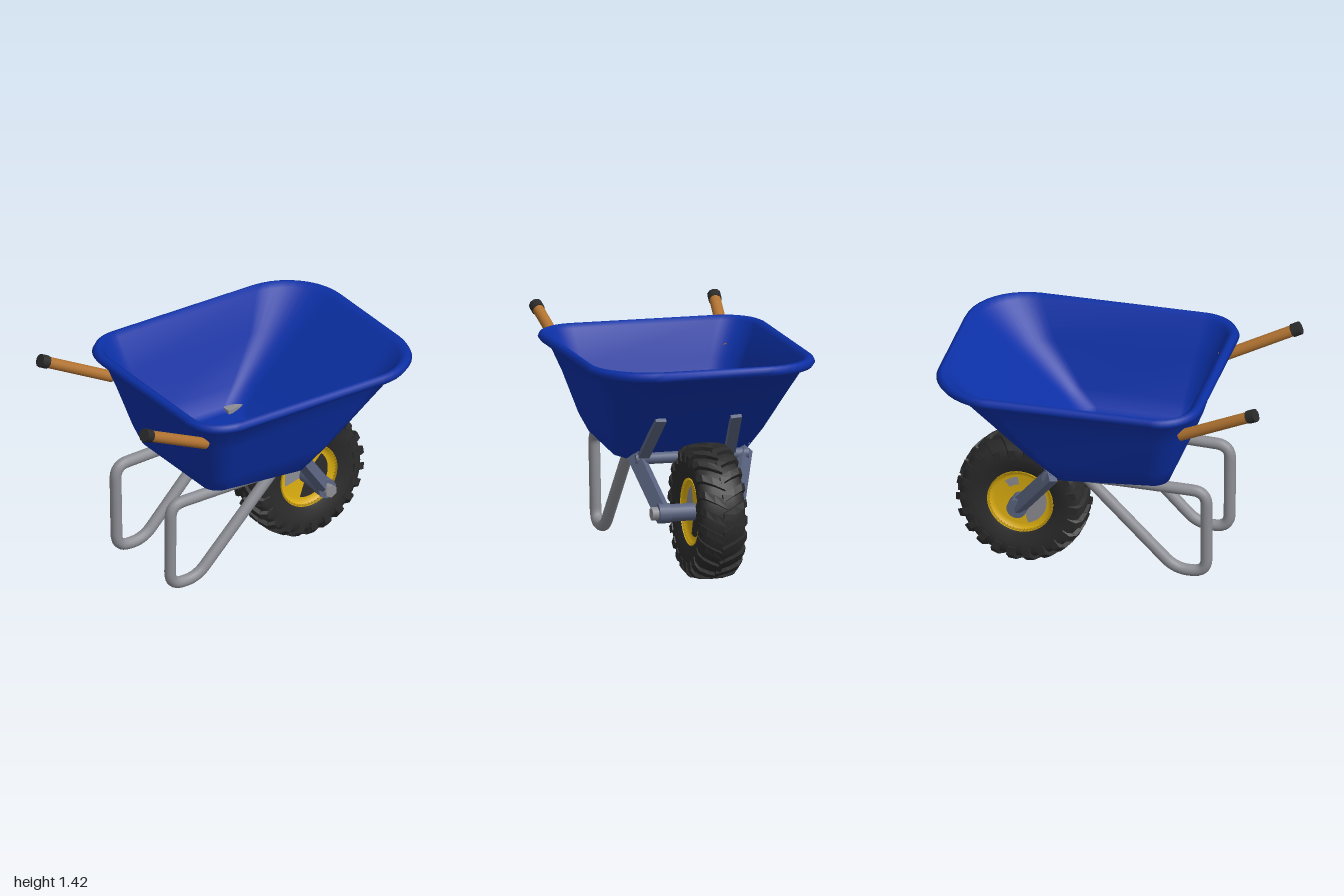
import * as THREE from 'three';
import { mergeGeometries } from 'three/addons/utils/BufferGeometryUtils.js';

const mat = (name, color, side = THREE.FrontSide) => {
  const m = new THREE.MeshStandardMaterial({ color, side });
  m.name = name;
  return m;
};
const V = (x, y, z) => new THREE.Vector3(x, y, z);

// Skin a list of equal-length loops, with both ends capped
function loft(loops) {
  const n = loops[0].length, pos = [], idx = [];
  loops.forEach(l => l.forEach(p => pos.push(p.x, p.y, p.z)));
  for (let i = 0; i < loops.length - 1; i++) {
    for (let j = 0; j < n; j++) {
      const a = i * n + j, b = i * n + (j + 1) % n;
      idx.push(a, a + n, b, b, a + n, b + n);
    }
  }
  const e = (loops.length - 1) * n;
  for (let j = 1; j < n - 1; j++) idx.push(0, j, j + 1, e, e + j + 1, e + j);
  const g = new THREE.BufferGeometry();
  g.setAttribute('position', new THREE.Float32BufferAttribute(pos, 3));
  g.setIndex(idx);
  g.computeVertexNormals();
  return g;
}

// Horizontal rounded rectangle with separate back and front corner radii
function trayLoop([y, x0, x1, z, rb, rf, dip = 0]) {
  const corners = [[x1 - rf, z - rf, rf], [x0 + rb, z - rb, rb], [x0 + rb, rb - z, rb], [x1 - rf, rf - z, rf]];
  const pts = [];
  corners.forEach(([cx, cz, r], k) => {
    for (let i = 0; i <= 10; i++) {
      const a = (k + i / 10) * Math.PI / 2;
      const x = cx + r * Math.cos(a);
      pts.push(V(x, y - dip * THREE.MathUtils.smoothstep(x, 0, 0.25), cz + r * Math.sin(a)));
    }
  });
  return pts;
}

// Polyline with rounded corners
function bentPath(points, radius) {
  const path = new THREE.CurvePath();
  let from = points[0];
  for (let i = 1; i < points.length - 1; i++) {
    const p = points[i];
    const a = p.clone().add(points[i - 1].clone().sub(p).setLength(radius));
    const b = p.clone().add(points[i + 1].clone().sub(p).setLength(radius));
    path.add(new THREE.LineCurve3(from, a));
    path.add(new THREE.QuadraticBezierCurve3(a, p, b));
    from = b;
  }
  path.add(new THREE.LineCurve3(from, points[points.length - 1]));
  return path;
}

export function createModel() {
  const root = new THREE.Group();
  root.name = 'wheelbarrow';
  const blue = mat('trayBlue', 0x0c30a6);
  const steel = mat('tubeSteel', 0x8d8e94);
  const frame = mat('frameGrey', 0x5a6480);
  const wood = mat('handleWood', 0xb07231);
  const rubber = mat('rubberBlack', 0x2b2b2b);
  const yellow = mat('rimYellow', 0xdcae10);

  const add = (name, geo, material, parent = root) => {
    const m = new THREE.Mesh(geo, material);
    m.name = name;
    parent.add(m);
    return m;
  };
  // Place a geometry built along y between two points
  const between = (name, geo, p, q, material) => {
    const m = add(name, geo, material);
    m.position.copy(p).lerp(q, 0.5);
    m.quaternion.setFromUnitVectors(V(0, 1, 0), q.clone().sub(p).normalize());
    return m;
  };
  const rod = (name, p, q, r, material, sides = 20) =>
    between(name, new THREE.CylinderGeometry(r, r, p.distanceTo(q), sides), p, q, material);
  const bar = (name, p, q, w, d, material) =>
    between(name, new THREE.BoxGeometry(w, p.distanceTo(q), d), p, q, material);

  // Tray: up the outside, over the rolled rim, down the inside
  add('tray', loft([
    [0.715, -0.35, 0.24, 0.36, 0.08, 0.08, 0.04],
    [0.74, -0.405, 0.29, 0.41, 0.1, 0.1, 0.04],
    [0.85, -0.45, 0.45, 0.47, 0.14, 0.12],
    [1.1, -0.525, 0.725, 0.56, 0.18, 0.22],
    [1.275, -0.58, 0.93, 0.635, 0.2, 0.33],
    [1.275, -0.615, 0.975, 0.675, 0.23, 0.36],
    [1.3, -0.635, 0.995, 0.693, 0.25, 0.38],
    [1.325, -0.622, 0.982, 0.682, 0.24, 0.37],
    [1.335, -0.6, 0.96, 0.66, 0.22, 0.35],
    [1.31, -0.565, 0.92, 0.625, 0.19, 0.32],
    [1.1, -0.505, 0.7, 0.54, 0.17, 0.2],
    [0.85, -0.43, 0.42, 0.45, 0.13, 0.11],
    [0.765, -0.395, 0.31, 0.39, 0.1, 0.1],
    [0.74, -0.35, 0.27, 0.35, 0.08, 0.08],
  ].map(trayLoop)), blue);

  // Handles, legs and rails on both sides
  for (const s of [1, -1]) {
    const side = s > 0 ? 'left' : 'right';
    const h0 = V(-0.515, 1.15, s * 0.49), h1 = V(-0.98, 1.375, s * 0.545);
    rod(side + 'Handle', h0, h1, 0.034, wood);
    rod(side + 'Grip', h0.clone().lerp(h1, 0.91), h0.clone().lerp(h1, 1.015), 0.04, rubber, 10);
    const leg = bentPath([
      V(0.26, 0.69, s * 0.3), V(-0.1, 0.69, s * 0.3), V(-0.625, 0.675, s * 0.29),
      V(-0.622, 0.135, s * 0.28), V(-0.435, 0.132, s * 0.28), V(0.11, 0.69, s * 0.29),
    ], 0.085);
    add(side + 'Leg', new THREE.TubeGeometry(leg, 110, 0.035, 14), steel);
  }

  // Front frame: cross tube, wheel brackets, tray struts and axle
  rod('crossTube', V(0.32, 0.69, 0.31), V(0.32, 0.69, -0.38), 0.034, frame);
  for (const [side, top, low, out] of [['left', 0.3, 0.2, 0.27], ['right', -0.37, -0.25, -0.27]]) {
    bar(side + 'Bracket', V(0.29, 0.71, top), V(0.53, 0.4, low), 0.085, 0.055, frame);
    const s = Math.sign(top);
    rod(side + 'BracketEnd', V(0.53, 0.4, low - s * 0.04), V(0.53, 0.4, low + s * 0.03), 0.06, frame);
    rod(side + 'AxleNut', V(0.53, 0.4, low), V(0.53, 0.4, out), 0.04, steel, 6);
    bar(side + 'TrayStrut', V(0.325, 0.69, s * 0.265), V(0.6, 0.975, s * 0.23), 0.03, 0.065, frame);
  }
  rod('axle', V(0.53, 0.4, 0.2), V(0.53, 0.4, -0.25), 0.052, frame);
  bar('trayBolt', V(0.21, 0.75, -0.365), V(0.32, 0.76, -0.365), 0.03, 0.06, steel);

  // Wheel
  const wheel = new THREE.Group();
  wheel.name = 'wheel';
  wheel.position.set(0.53, 0.4, -0.075);
  root.add(wheel);
  const lathe = pts => new THREE.LatheGeometry(pts.map(p => new THREE.Vector2(...p)), 56).rotateX(Math.PI / 2);
  add('tyre', lathe([
    [0.19, -0.1], [0.215, -0.115], [0.28, -0.135], [0.33, -0.135], [0.36, -0.115], [0.376, -0.06],
    [0.38, 0], [0.376, 0.06], [0.36, 0.115], [0.33, 0.135], [0.28, 0.135], [0.215, 0.115], [0.19, 0.1],
  ]), rubber, wheel);
  add('rim', lathe([
    [0, -0.08], [0.16, -0.08], [0.185, -0.1], [0.2, -0.112],
    [0.2, 0.112], [0.185, 0.1], [0.16, 0.08], [0, 0.08],
  ]), yellow, wheel);

  // Worn patches on the rim faces: side, inner and outer radius, start angle, sweep
  for (const [s, r0, r1, start, sweep, m] of [
    [1, 0.04, 0.155, 1.9, 1.5, steel], [1, 0.04, 0.15, -1.9, 2.7, rubber],
    [-1, 0.06, 0.155, -1.3, 1.7, steel], [-1, 0.1, 0.15, 1.7, 0.6, steel],
  ]) {
    const patch = add('rimPatch', new THREE.RingGeometry(r0, r1, 24, 1, start, sweep), m, wheel);
    patch.position.z = s * 0.084;
    if (s < 0) patch.rotation.y = Math.PI;
  }

  // Chevron tread: half-lugs swept from the centre line over each shoulder
  const lugs = [], count = 22;
  const sections = [[-0.01, 0.402], [0.06, 0.4], [0.115, 0.388], [0.143, 0.355], [0.143, 0.31]];
  for (const s of [1, -1]) {
    for (let i = 0; i < count; i++) {
      const a0 = (i + (s > 0 ? 0 : 0.35)) / count * Math.PI * 2;
      const loops = sections.map(([z, r]) => {
        const a = a0 + z * 1.4;
        const at = (rad, da) => V(rad * Math.cos(a + da), rad * Math.sin(a + da), s * z);
        const loop = [at(0.3, -0.08), at(0.3, 0.08), at(r, 0.06), at(r, -0.06)];
        return s > 0 ? loop : loop.reverse();
      });
      lugs.push(loft(loops).toNonIndexed());
    }
  }
  const tread = mergeGeometries(lugs);
  tread.computeVertexNormals();
  add('tread', tread, rubber, wheel);

  return root;
}
